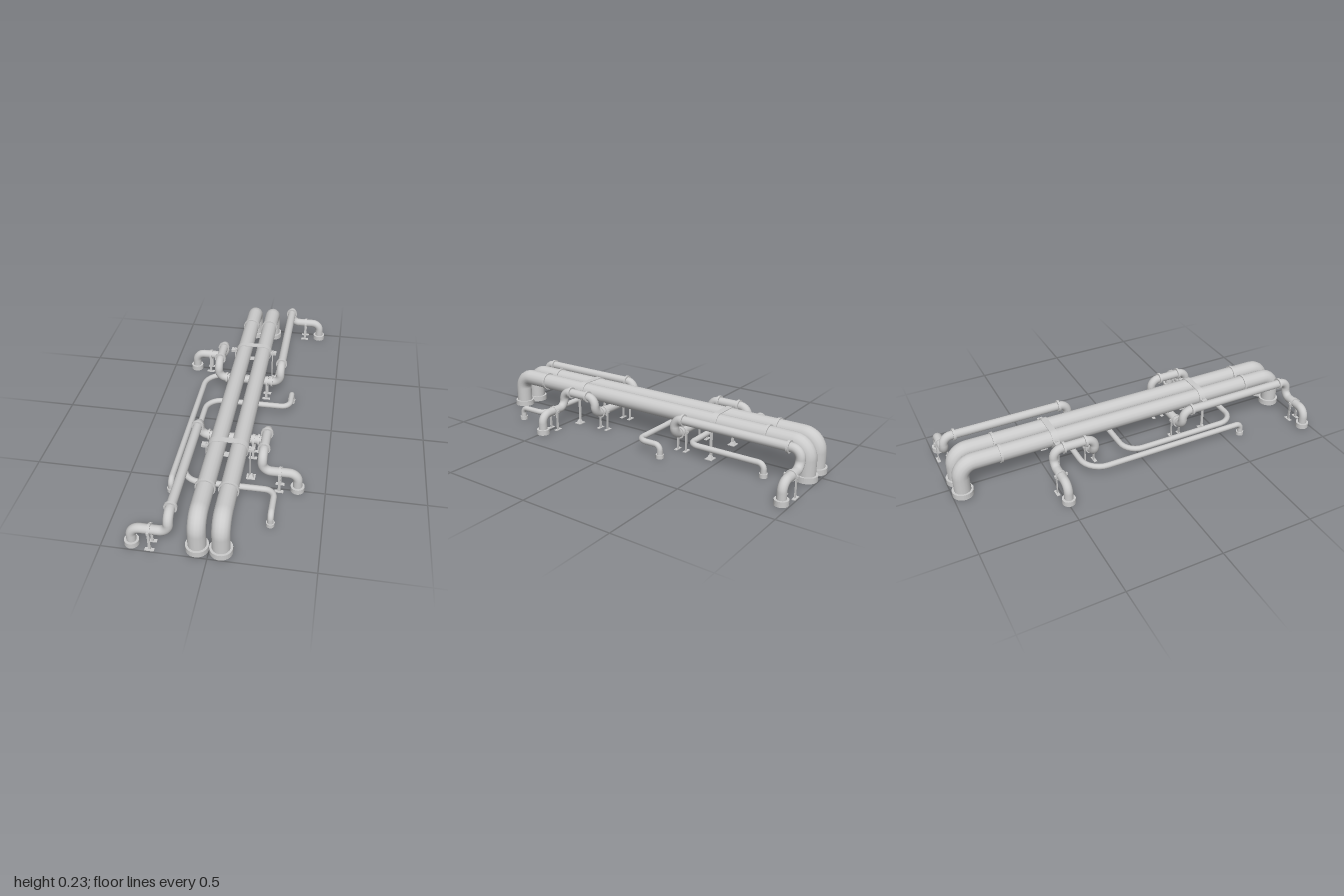
import * as THREE from 'three';
import { mergeGeometries } from 'three/addons/utils/BufferGeometryUtils.js';

const SIDES = 16;
const mat = new THREE.MeshStandardMaterial({ color: 0xcccccc, side: THREE.DoubleSide });
const V = (p) => new THREE.Vector3(...p);

function add(parent, name, geometry, pos = [0, 0, 0]) {
  const mesh = new THREE.Mesh(geometry, mat);
  mesh.name = name;
  mesh.position.set(...pos);
  parent.add(mesh);
  return mesh;
}

// Pipe through corner points; bends[i] is the elbow radius at inner corner i
function pipe(parent, name, corners, r, bends) {
  const pts = corners.map(V);
  const parts = [];
  let from = pts[0];
  const straight = (a, b) => {
    if (a.distanceTo(b) > 1e-3) parts.push(new THREE.TubeGeometry(new THREE.LineCurve3(a, b), 1, r, SIDES));
  };
  for (let i = 1; i < pts.length - 1; i++) {
    const bend = Array.isArray(bends) ? bends[i - 1] : bends;
    const back = pts[i - 1].clone().sub(pts[i]).normalize();
    const ahead = pts[i + 1].clone().sub(pts[i]).normalize();
    const at = (dir, d) => pts[i].clone().addScaledVector(dir, d);
    const a = at(back, bend), b = at(ahead, bend);
    straight(from, a);
    const elbow = new THREE.CubicBezierCurve3(a, at(back, bend * 0.448), at(ahead, bend * 0.448), b);
    parts.push(new THREE.TubeGeometry(elbow, 7, r, SIDES));
    from = b;
  }
  straight(from, pts[pts.length - 1]);
  return add(parent, name, mergeGeometries(parts));
}

// Hollow ring: used for floor collars, flanges and clamp bands
function ringGeometry(inner, outer, length) {
  const h = length / 2;
  const shape = new THREE.Shape().absarc(0, 0, outer, 0, Math.PI * 2);
  shape.holes.push(new THREE.Path().absarc(0, 0, inner, 0, Math.PI * 2, true));
  const g = new THREE.ExtrudeGeometry(shape, { depth: length, bevelEnabled: false, curveSegments: SIDES });
  return g.translate(0, 0, -h);
}

function ring(parent, name, pos, axis, inner, outer, length) {
  const g = ringGeometry(inner, outer, length);
  if (axis === 'x') g.rotateY(Math.PI / 2);
  if (axis === 'y') g.rotateX(Math.PI / 2);
  return add(parent, name, g, pos);
}

const collar = (parent, x, z, r, outer, h) =>
  ring(parent, 'floorCollar', [x, h / 2, z], 'y', r * 0.9, outer, h);

// Two posts with foot plates and a band around a pipe running along x
function pipeStand(parent, x, y, z) {
  const stand = new THREE.Group();
  stand.name = 'pipeStand';
  stand.position.set(x, 0, z);
  ring(stand, 'clampBand', [0, y, 0], 'x', 0.022, 0.028, 0.013);
  for (const s of [-1, 1]) {
    add(stand, 'standPost', new THREE.BoxGeometry(0.013, y, 0.005), [0, y / 2, s * 0.025]);
    add(stand, 'footPlate', new THREE.BoxGeometry(0.045, 0.004, 0.018), [0, 0.002, s * 0.027]);
    add(stand, 'clampTab', new THREE.BoxGeometry(0.013, 0.012, 0.012), [0, y, s * 0.03]);
  }
  parent.add(stand);
}

// Stadium-shaped strap round both main pipes, carried on two posts
function mainSupport(parent, z) {
  const support = new THREE.Group();
  support.name = 'mainSupport';
  support.position.set(0, 0, z);
  const stadium = (path, r) => path
    .absarc(0.056, 0, r, -Math.PI / 2, Math.PI / 2)
    .absarc(-0.056, 0, r, Math.PI / 2, Math.PI * 1.5)
    .closePath();
  const shape = stadium(new THREE.Shape(), 0.049);
  shape.holes.push(stadium(new THREE.Path(), 0.045));
  const strap = new THREE.ExtrudeGeometry(shape, { depth: 0.034, bevelEnabled: false, curveSegments: SIDES });
  add(support, 'strap', strap, [0, 0.184, -0.017]);
  for (const s of [-1, 1]) {
    add(support, 'supportPost', new THREE.BoxGeometry(0.006, 0.2, 0.014), [s * 0.112, 0.1, 0]);
    add(support, 'strapLug', new THREE.BoxGeometry(0.032, 0.014, 0.03), [s * 0.118, 0.187, 0]);
    add(support, 'footPlate', new THREE.BoxGeometry(0.046, 0.004, 0.04), [s * 0.116, 0.002, 0]);
    const foot = new THREE.CylinderGeometry(0.009, 0.02, 0.018, 4).rotateY(Math.PI / 4).toNonIndexed();
    foot.computeVertexNormals();
    add(support, 'foot', foot, [s * 0.117, 0.013, 0]);
  }
  parent.add(support);
}

export function createModel() {
  const model = new THREE.Group();
  model.name = 'pipework';

  // Twin main pipes
  for (const x of [-0.056, 0.056]) {
    pipe(model, 'mainPipe', [[x, 0.004, 0.944], [x, 0.184, 0.944], [x, 0.184, -0.944], [x, 0.004, -0.944]], 0.044, 0.075);
    for (const s of [-1, 1]) {
      collar(model, x, s * 0.944, 0.044, 0.055, 0.03);
      ring(model, 'mainFlange', [x, 0.184, s * 0.733], 'z', 0.04, 0.05, 0.013);
    }
  }
  mainSupport(model, 0.437);
  mainSupport(model, -0.445);

  // Side pipes passing under the mains, repeated by a half turn
  for (const turn of [0, Math.PI]) {
    const side = new THREE.Group();
    side.name = 'sidePipeRun';
    side.rotation.y = turn;
    const lo = 0.108, hi = 0.202, r = 0.0235, x = 0.18, zc = -0.265;
    pipe(side, 'sidePipe', [
      [0.36, 0.004, -0.96], [0.36, lo, -0.96], [x, lo, -0.96], [x, hi, -0.96],
      [x, hi, zc], [x, lo, zc], [-x, lo, zc], [-x, hi, zc],
      [-x, hi, -0.493], [-x, lo, -0.493], [-0.36, lo, -0.493], [-0.36, 0.004, -0.493],
    ], r, 0.046);
    collar(side, 0.36, -0.96, r, 0.035, 0.028);
    collar(side, -0.36, -0.493, r, 0.035, 0.028);
    for (const [fx, fz] of [[x, -0.9], [x, -0.317], [-x, -0.437], [-x, -0.317]]) {
      ring(side, 'sideFlange', [fx, hi, fz], 'z', 0.02, 0.032, 0.012);
    }
    for (const s of [-1, 1]) {
      ring(side, 'crossFlange', [s * 0.132, lo, zc], 'x', 0.02, 0.031, 0.01);
      pipeStand(side, s * 0.105, lo, zc);
    }
    pipeStand(side, 0.27, lo, -0.96);
    pipeStand(side, -0.27, lo, -0.493);
    model.add(side);
  }

  // Thin low pipes winding beneath the mains
  const y = 0.07, rs = 0.0155;
  pipe(model, 'lowPipeLeftward', [
    [-0.262, 0.004, 0.597], [-0.262, y, 0.597], [-0.262, y, -0.338],
    [0.153, y, -0.338], [0.153, y, -0.765], [0.153, 0.004, -0.765],
  ], rs, [0.03, 0.11, 0.05, 0.03]);
  pipe(model, 'lowPipeWinding', [
    [0.256, 0.004, -0.228], [0.256, y, -0.228], [0.256, y, -0.088], [-0.21, y, -0.088],
    [-0.21, y, 0.585], [0.256, y, 0.585], [0.256, y, 0.75], [0.256, 0.004, 0.75],
  ], rs, [0.03, 0.05, 0.09, 0.09, 0.05, 0.03]);
  for (const [x, z] of [[-0.262, 0.597], [0.153, -0.765], [0.256, -0.228], [0.256, 0.75]]) {
    collar(model, x, z, rs, 0.021, 0.02);
  }
  return model;
}
